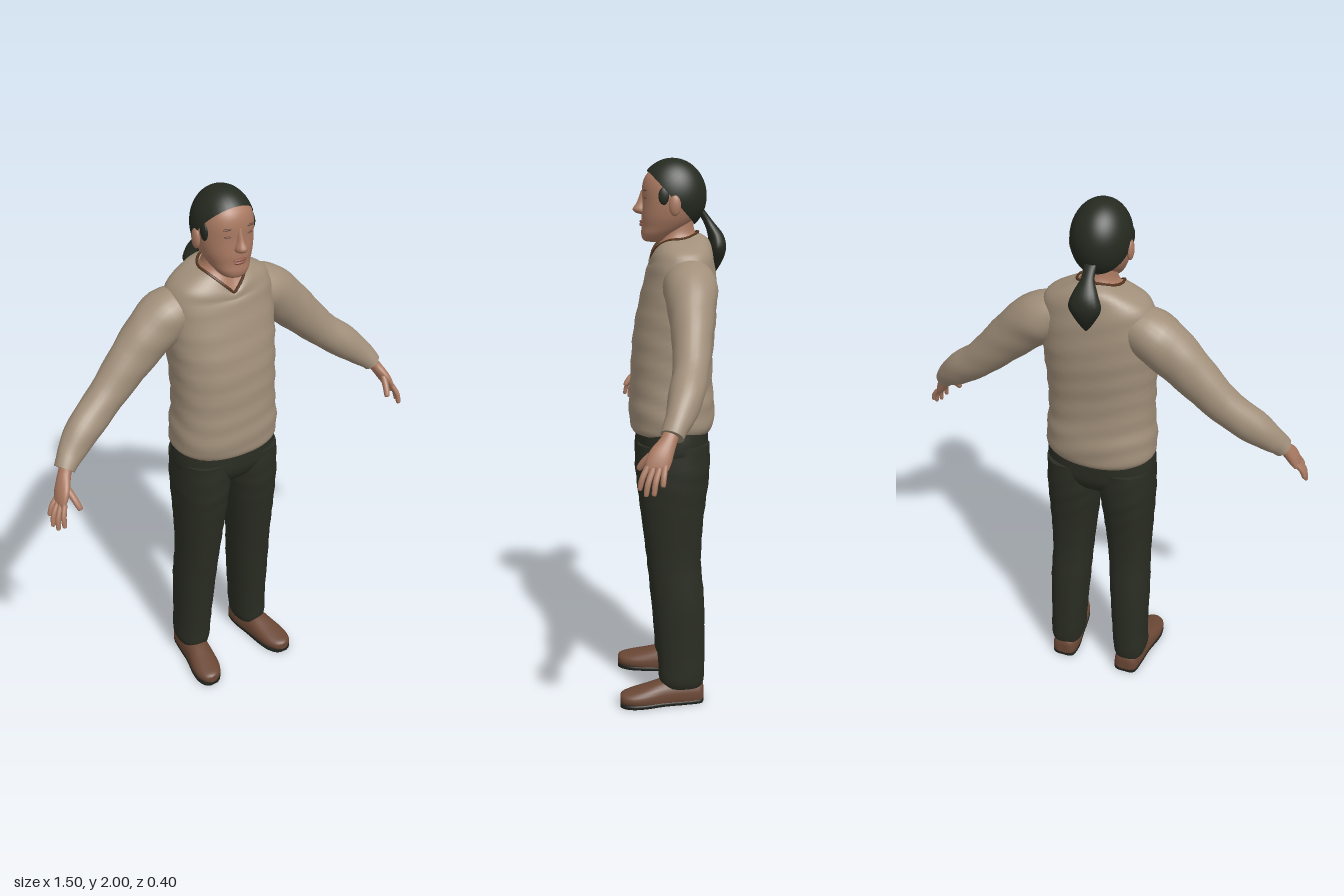
import * as THREE from 'three';

const mat = (name, color, side = THREE.FrontSide) => {
  const m = new THREE.MeshStandardMaterial({ color, side });
  m.name = name;
  return m;
};

// Smooth skin through oval sections. Row: [x, y, z, radiusU, radiusV, tilt]
// t fixes the section normal (else it follows the path), u is the first section axis.
function loft(rows, { t, u = [1, 0, 0], e = 2, n = 28, sub = 4, fold = 0, shape } = {}) {
  const steps = (rows.length - 1) * sub;
  const sample = (f) => {
    const i = Math.min(Math.floor(f), rows.length - 2), w = f - i;
    const at = (k) => rows[Math.max(0, Math.min(rows.length - 1, k))];
    return [0, 1, 2, 3, 4, 5].map((c) => {
      const [a, b, d, g] = [i - 1, i, i + 1, i + 2].map((k) => at(k)[c] || 0);
      const m0 = (d - a) / 2, m1 = (g - b) / 2, w2 = w * w, w3 = w2 * w;
      return b * (2 * w3 - 3 * w2 + 1) + m0 * (w3 - 2 * w2 + w) + d * (3 * w2 - 2 * w3) + m1 * (w3 - w2);
    });
  };
  const pos = [], idx = [], rings = [], centres = [];
  for (let s = 0; s <= steps; s++) {
    const f = s / sub, r = sample(f), c = new THREE.Vector3(r[0], r[1], r[2]);
    const T = t ? new THREE.Vector3(...t)
      : new THREE.Vector3(...sample(Math.min(f + 0.1, rows.length - 1)).slice(0, 3))
        .sub(new THREE.Vector3(...sample(Math.max(f - 0.1, 0)).slice(0, 3))).normalize();
    const U = new THREE.Vector3(...u);
    U.addScaledVector(T, -U.dot(T)).normalize();
    const V = T.clone().cross(U), ring = [];
    for (let j = 0; j < n; j++) {
      const a = (j / n) * Math.PI * 2, ca = Math.cos(a), sa = Math.sin(a);
      const cc = Math.sign(ca) * Math.abs(ca) ** (2 / e), ss = Math.sign(sa) * Math.abs(sa) ** (2 / e);
      const k = 1 + fold * Math.sin(75 * r[1] + 2 * Math.sin(2 * a) + 1.5 * Math.cos(a));
      const p = c.clone().addScaledVector(U, r[3] * cc * k).addScaledVector(V, r[4] * ss * k);
      p.y += r[5] * (sa < 0 ? Math.abs(ca) - 1 : 0.3 * sa * sa); // dips to a V at the front
      if (shape) shape(p);
      ring.push(p);
    }
    rings.push(ring);
    centres.push(ring.reduce((q, p) => q.add(p), new THREE.Vector3()).divideScalar(n));
    ring.forEach((p) => pos.push(p.x, p.y, p.z));
  }
  for (let s = 0; s < steps; s++) for (let j = 0; j < n; j++) {
    const a = s * n + j, b = s * n + (j + 1) % n;
    idx.push(a, b, b + n, a, b + n, a + n);
  }
  for (const end of [0, steps]) { // separate caps keep crisp ends
    const base = pos.length / 3;
    [...rings[end], centres[end]].forEach((p) => pos.push(p.x, p.y, p.z));
    for (let j = 0; j < n; j++) {
      const a = base + j, b = base + (j + 1) % n;
      end ? idx.push(a, b, base + n) : idx.push(b, a, base + n);
    }
  }
  const g = new THREE.BufferGeometry();
  g.setAttribute('position', new THREE.Float32BufferAttribute(pos, 3));
  g.setIndex(idx);
  g.computeVertexNormals();
  return g;
}

// Upright loft. Row: [y, xMin, xMax, zFront, zBack, tilt]
const upright = (rows, opts = {}) => loft(
  rows.map(([y, x0, x1, zf, zb, k = 0]) => [(x0 + x1) / 2, y, (zf + zb) / 2, (x1 - x0) / 2, (zf - zb) / 2, k]),
  { t: [0, 1, 0], ...opts });
const centred = (rows) => rows.map(([y, r, ...rest]) => [y, -r, r, ...rest]);

export function createModel() {
  const root = new THREE.Group();
  const skin = mat('skin', 0xaa7a62), lip = mat('lips', 0x8c5546), brow = mat('brows', 0x66463a);
  const hair = mat('hair', 0x252a20, THREE.DoubleSide), wool = mat('sweater', 0xa18f7a);
  const cloth = mat('trousers', 0x2a2d23), leather = mat('shoe leather', 0x6a4735);
  const rubber = mat('sole', 0x22241e), collar = mat('collar', 0x55351f);
  const add = (name, geo, m) => {
    const mesh = new THREE.Mesh(geo, m);
    mesh.name = name;
    root.add(mesh);
    return mesh;
  };
  const blob = (name, m, p, s) => add(name, new THREE.SphereGeometry(1, 20, 14).scale(...s).translate(...p), m);

  // Sweater body with V neck
  add('sweaterBody', upright(centred([
    [1.035, 0.19, 0.138, -0.15], [1.06, 0.203, 0.148, -0.16], [1.13, 0.202, 0.15, -0.163],
    [1.2, 0.194, 0.145, -0.155], [1.3, 0.194, 0.14, -0.155], [1.4, 0.198, 0.13, -0.163],
    [1.5, 0.203, 0.11, -0.168], [1.61, 0.2, 0.083, -0.162], [1.67, 0.18, 0.075, -0.15, 0.04],
    [1.705, 0.125, 0.07, -0.135, 0.06], [1.722, 0.08, 0.064, -0.1, 0.075],
  ]), { e: 2.3, n: 48, fold: 0.012 }), wool);

  // Collar edge follows the V neck
  const edge = [];
  for (let i = 0; i < 32; i++) {
    const a = (i / 32) * Math.PI * 2, c = Math.cos(a), s = Math.sin(a);
    edge.push(new THREE.Vector3(0.079 * c, 1.724 + 0.075 * (s < 0 ? Math.abs(c) - 1 : 0.3 * s * s), -0.018 - 0.083 * s));
  }
  add('collar', new THREE.TubeGeometry(new THREE.CatmullRomCurve3(edge, true), 64, 0.005, 6, true), collar);

  // Neck and head
  add('neck', upright(centred([
    [1.715, 0.077, 0.062, -0.096, 0.07], [1.735, 0.063, 0.042, -0.09, 0.045],
    [1.765, 0.058, 0.032, -0.085, 0.02], [1.82, 0.058, 0.03, -0.085],
  ])), skin);
  add('head', upright(centred([
    [1.712, 0.02, 0.08, 0.03], [1.72, 0.042, 0.095, 0.01], [1.74, 0.06, 0.101, -0.02],
    [1.765, 0.074, 0.099, -0.06], [1.8, 0.088, 0.1, -0.09], [1.85, 0.096, 0.097, -0.108],
    [1.9, 0.095, 0.097, -0.112], [1.94, 0.082, 0.084, -0.1], [1.97, 0.055, 0.05, -0.075], [1.985, 0.015, 0.0, -0.02],
  ]), { e: 2.2, n: 40 }), skin);
  add('nose', upright(centred([
    [1.808, 0.008, 0.105, 0.08], [1.814, 0.019, 0.122, 0.07], [1.826, 0.02, 0.13, 0.07],
    [1.85, 0.012, 0.115, 0.07], [1.89, 0.008, 0.1, 0.07],
  ]), { n: 16 }), skin);
  blob('upperLip', lip, [0, 1.782, 0.099], [0.026, 0.005, 0.008]);
  blob('lowerLip', lip, [0, 1.772, 0.099], [0.022, 0.006, 0.008]);

  // Swept-back hair and ponytail
  add('hairCap', new THREE.SphereGeometry(1, 40, 20, 0, Math.PI * 2, 0, Math.PI * 0.52)
    .rotateX(-0.8).scale(0.103, 0.13, 0.121).translate(0, 1.87, -0.01), hair);
  add('ponytail', loft([
    [0, 1.6, -0.158, 0.006, 0.005], [0, 1.645, -0.165, 0.035, 0.025], [0, 1.69, -0.17, 0.056, 0.032],
    [0, 1.735, -0.164, 0.043, 0.028], [0, 1.78, -0.138, 0.022, 0.018], [0, 1.82, -0.11, 0.022, 0.015],
  ], { t: [0, 1, 0], n: 20 }), hair);

  // Trouser seat
  add('trouserSeat', upright(centred([
    [0.875, 0.02, 0.03, -0.05], [0.9, 0.11, 0.09, -0.105], [0.95, 0.192, 0.122, -0.135],
    [1.0, 0.203, 0.126, -0.14], [1.06, 0.198, 0.124, -0.14],
  ]), { e: 2.4, n: 40 }), cloth);

  for (const s of [1, -1]) {
    const side = s > 0 ? 'left' : 'right';
    const flip = (rows) => rows.map(([x, ...rest]) => [s * x, ...rest]);

    // Face details
    blob(side + 'Ear', skin, [s * 0.1, 1.84, -0.012], [0.012, 0.036, 0.021]);
    blob(side + 'Eye', brow, [s * 0.037, 1.865, 0.087], [0.017, 0.0035, 0.007]);
    blob(side + 'Brow', brow, [s * 0.038, 1.891, 0.088], [0.022, 0.004, 0.006]);
    blob(side + 'Sideburn', hair, [s * 0.091, 1.872, 0.025], [0.009, 0.03, 0.02]);

    // Sleeve
    add(side + 'Sleeve', loft(flip([
      [0.1, 1.61, -0.05, 0.07, 0.06], [0.19, 1.573, -0.057, 0.094, 0.087], [0.26, 1.52, -0.055, 0.084, 0.089],
      [0.34, 1.445, -0.05, 0.071, 0.08], [0.45, 1.338, -0.038, 0.06, 0.066], [0.55, 1.26, -0.012, 0.057, 0.062],
      [0.61, 1.208, 0.012, 0.046, 0.05], [0.638, 1.182, 0.028, 0.04, 0.041], [0.655, 1.162, 0.038, 0.038, 0.036],
    ]), { u: [0, 0, 1], fold: 0.015 }), wool);

    // Hand: palm, four fingers and thumb
    add(side + 'Palm', loft(flip([
      [0.64, 1.185, 0.035, 0.026, 0.022], [0.663, 1.15, 0.05, 0.027, 0.021],
      [0.686, 1.11, 0.075, 0.038, 0.02], [0.702, 1.078, 0.088, 0.037, 0.014], [0.707, 1.068, 0.09, 0.03, 0.008],
    ]), { u: [0, 0, 1], n: 20 }), skin);
    [
      [[0.7, 1.08, 0.117], [0.715, 1.045, 0.135], [0.718, 1.013, 0.143]],
      [[0.704, 1.078, 0.099], [0.727, 1.035, 0.117], [0.733, 0.998, 0.124]],
      [[0.705, 1.078, 0.08], [0.732, 1.04, 0.094], [0.741, 1.002, 0.1]],
      [[0.702, 1.083, 0.063], [0.727, 1.055, 0.069], [0.738, 1.027, 0.072]],
      [[0.675, 1.125, 0.085], [0.664, 1.09, 0.122], [0.656, 1.062, 0.142]],
    ].forEach(([a, b, c], i) => {
      const r = i === 4 ? 0.012 : 0.0095;
      const tip = c.map((v, k) => v + (c[k] - b[k]) * 0.12);
      add(side + (i === 4 ? 'Thumb' : 'Finger' + (i + 1)), loft(flip([
        [...a, r, r], [...b, r, r], [...c, r * 0.8, r * 0.8], [...tip, 0.002, 0.002],
      ]), { u: i === 4 ? [1, 0, 0] : [0, 0, 1], n: 10 }), skin);
    });

    // Trouser leg
    add(side + 'TrouserLeg', upright([
      [0.065, 0.078, 0.195, 0.043, -0.113], [0.1, 0.07, 0.204, 0.05, -0.12], [0.2, 0.064, 0.2, 0.056, -0.122],
      [0.4, 0.05, 0.2, 0.074, -0.12], [0.55, 0.04, 0.195, 0.09, -0.108], [0.7, 0.025, 0.199, 0.108, -0.115],
      [0.82, 0.011, 0.203, 0.122, -0.13], [0.9, 0.003, 0.204, 0.126, -0.138], [1.0, 0.003, 0.2, 0.124, -0.138],
    ].map(([y, a, b, ...z]) => (s > 0 ? [y, a, b, ...z] : [y, -b, -a, ...z])), { e: 2.3, fold: 0.012 }), cloth);

    // Shoe, flattened below, on a thin sole
    const shoe = flip([
      [0.135, 0.03, -0.118, 0.022, 0.03], [0.136, 0.03, -0.105, 0.045, 0.055], [0.138, 0.03, -0.05, 0.053, 0.065],
      [0.148, 0.03, 0.03, 0.052, 0.06], [0.16, 0.03, 0.1, 0.056, 0.042], [0.167, 0.03, 0.15, 0.052, 0.03],
      [0.171, 0.03, 0.185, 0.036, 0.022], [0.172, 0.028, 0.198, 0.015, 0.016],
    ]);
    const opts = { t: [0, 0, 1], e: 2.3 };
    add(side + 'Shoe', loft(shoe, { ...opts, shape: (p) => { p.y = Math.max(p.y, 0.012); } }), leather);
    add(side + 'Sole', loft(shoe.map(([x, y, z, a]) => [x, 0.008, z, a, 0.05]),
      { ...opts, shape: (p) => { p.y = THREE.MathUtils.clamp(p.y, 0, 0.014); } }), rubber);
  }
  return root;
}
